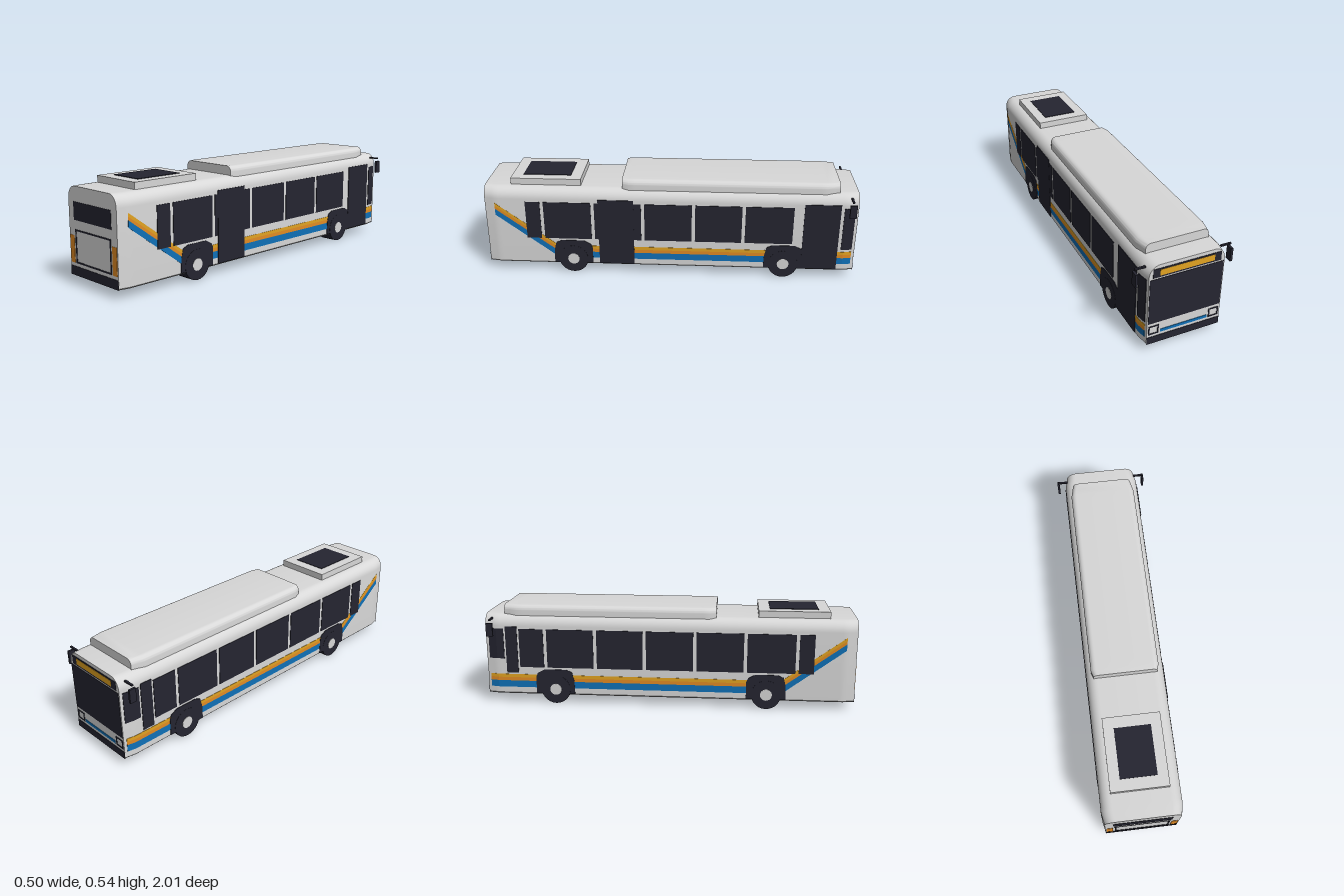
import * as THREE from 'three';
import { toCreasedNormals } from 'three/addons/utils/BufferGeometryUtils.js';

const mat = (name, color) => {
  const m = new THREE.MeshStandardMaterial({ color });
  m.name = name;
  return m;
};

export function createModel() {
  const bus = new THREE.Group();
  bus.name = 'cityBus';
  const paint = mat('bodyGrey', 0xd8d8d8);
  const dark = mat('darkGlass', 0x252531);
  const blue = mat('stripeBlue', 0x1071b8);
  const gold = mat('stripeGold', 0xe3a422);
  const orange = mat('lampOrange', 0xe38c24);

  const HALF = 0.207;
  // the body narrows slightly at both ends
  const taper = (z) => Math.max(0, Math.abs(z) - 0.94) * 0.2;

  const add = (name, geo, material) => {
    const mesh = new THREE.Mesh(geo, material);
    mesh.name = name;
    bus.add(mesh);
    return mesh;
  };
  const box = (name, x0, x1, y0, y1, z0, z1, material) => {
    const g = new THREE.BoxGeometry(x1 - x0, y1 - y0, z1 - z0);
    g.translate((x0 + x1) / 2, (y0 + y1) / 2, (z0 + z1) / 2);
    return add(name, g, material);
  };
  const polygon = (pts) => new THREE.Shape(pts.map(([a, b]) => new THREE.Vector2(a, b)));

  // cross-section with rounded upper corners
  const section = (h, y0, y1, rx, ry, bevel) => {
    const s = new THREE.Shape();
    s.moveTo(-h + bevel, y0);
    s.lineTo(h - bevel, y0);
    s.lineTo(h, y0 + bevel);
    s.lineTo(h, y1 - ry);
    s.bezierCurveTo(h, y1 - ry * 0.45, h - rx * 0.45, y1, h - rx, y1);
    s.lineTo(-h + rx, y1);
    s.bezierCurveTo(-h + rx * 0.45, y1, -h, y1 - ry * 0.45, -h, y1 - ry);
    s.lineTo(-h, y0 + bevel);
    s.closePath();
    return s;
  };
  const hull = (name, shape, z0, z1, steps, half, narrowing) => {
    const g = new THREE.ExtrudeGeometry(shape, { depth: z1 - z0, steps, bevelEnabled: false, curveSegments: 8 });
    g.translate(0, 0, z0);
    const p = g.attributes.position;
    for (let i = 0; i < p.count; i++) p.setX(i, p.getX(i) * (1 - narrowing(p.getZ(i)) / half));
    add(name, toCreasedNormals(g, 0.5), paint);
  };

  hull('body', section(HALF, 0.047, 0.495, 0.058, 0.062, 0.008), -1, 1, 100, HALF, taper);
  hull('roofUnit', section(0.179, 0.48, 0.543, 0.03, 0.028, 0), -0.9, 0.255, 33, 0.179,
    (z) => Math.max(0, -0.83 - z) * 0.22 + Math.max(0, z - 0.22) * 0.3);
  box('rearRoofUnit', -0.15, 0.15, 0.48, 0.53, 0.48, 0.86, paint);
  box('roofGrille', -0.095, 0.095, 0.528, 0.533, 0.54, 0.8, dark);

  // thin plate on a flank, outlined by [z, y] points
  const sidePlate = (name, side, pts, thick, material) => {
    const g = new THREE.ExtrudeGeometry(polygon(pts.map(([z, y]) => [-side * z, y])),
      { depth: thick, bevelEnabled: false });
    g.rotateY(side * Math.PI / 2);
    g.translate(side * HALF, 0, 0);
    const p = g.attributes.position;
    for (let i = 0; i < p.count; i++) p.setX(i, p.getX(i) - side * taper(p.getZ(i)));
    g.computeVertexNormals();
    add(name, g, material);
  };
  const sideRect = (name, side, z0, z1, y0, y1, thick, material) => {
    const cuts = z0 < -0.94 && z1 > -0.94 ? [z0, -0.94, z1] : [z0, z1];
    for (let i = 0; i + 1 < cuts.length; i++) {
      const [a, b] = [cuts[i], cuts[i + 1]];
      sidePlate(name, side, [[a, y0], [b, y0], [b, y1], [a, y1]], thick, material);
    }
  };

  const wheelZ = [0.53, -0.62];
  for (const side of [1, -1]) {
    // stripes: level along the flank, climbing towards the tail
    const bands = [['blueStripe', 0.087, 0.124, blue, 0.337, 0.372],
      ['orangeStripe', 0.124, 0.143, orange, 0.372, 0.389],
      ['goldStripe', 0.143, 0.161, gold, 0.389, 0.407]];
    for (const [name, y0, y1, m, t0, t1] of bands) {
      sideRect(name, side, -0.985, 0.61, y0, y1, 0.0015, m);
      sidePlate(name + 'Rise', side, [[0.61, y0], [0.945, t0], [0.945, t1], [0.61, y1]], 0.0015, m);
    }
    // side windows with narrow posts
    const posts = [0.788, 0.69, 0.415, 0.144, -0.129, -0.398, -0.672];
    for (let i = 0; i + 1 < posts.length; i++)
      sideRect('sideWindow', side, posts[i + 1] + 0.009, posts[i] - 0.009, 0.203, 0.418, 0.0025, dark);
    if (side > 0) {
      sideRect('rearDoor', side, 0.193, 0.385, 0.055, 0.438, 0.0035, dark);
      sideRect('frontDoor', side, -0.908, -0.717, 0.055, 0.438, 0.0035, dark);
      sideRect('frontSideWindow', side, -0.985, -0.925, 0.175, 0.418, 0.0025, dark);
    } else {
      sideRect('sideWindow', side, -0.815, -0.681, 0.203, 0.418, 0.0025, dark);
      sideRect('driverPanel', side, -0.89, -0.825, 0.17, 0.43, 0.003, dark);
      sideRect('driverWindow', side, -0.985, -0.9, 0.25, 0.418, 0.0025, dark);
    }
    // wheels and arches
    for (const z of wheelZ) {
      sidePlate('wheelArch', side, [[z - 0.108, 0.055], [z - 0.108, 0.15], [z - 0.098, 0.172], [z - 0.06, 0.192],
        [z + 0.06, 0.192], [z + 0.092, 0.178], [z + 0.104, 0.13], [z + 0.106, 0.055]], 0.003, dark);
      const tyre = add('tyre', new THREE.CylinderGeometry(0.08, 0.08, 0.094, 28).rotateZ(Math.PI / 2), dark);
      tyre.position.set(side * 0.164, 0.08, z);
      const hub = add('hub', new THREE.CylinderGeometry(0.032, 0.032, 0.004, 20).rotateZ(Math.PI / 2), paint);
      hub.position.set(side * 0.2105, 0.08, z);
    }
    // door mirrors
    const arm = add('mirrorArm', new THREE.BoxGeometry(0.055, 0.008, 0.01), dark);
    arm.position.set(side * 0.221, 0.473, -0.96);
    const mirror = add('mirror', new THREE.BoxGeometry(0.012, 0.072, 0.036), dark);
    mirror.position.set(side * 0.246, 0.42, -0.963);
  }

  // thin plate on an end face: end is 1 for the tail, -1 for the nose
  const endRect = (name, end, x0, x1, y0, y1, m, t = 0.002) =>
    box(name, x0, x1, y0, y1, Math.min(end, end * (1 + t)), Math.max(end, end * (1 + t)), m);
  const endFrame = (name, end, x0, x1, y0, y1, w) => {
    endRect(name, end, x0, x1, y0, y0 + w, dark);
    endRect(name, end, x0, x1, y1 - w, y1, dark);
    endRect(name, end, x0, x0 + w, y0 + w, y1 - w, dark);
    endRect(name, end, x1 - w, x1, y0 + w, y1 - w, dark);
  };

  // tail
  endRect('rearWindow', 1, -0.152, 0.152, 0.328, 0.419, dark);
  endFrame('engineHatchFrame', 1, -0.145, 0.145, 0.112, 0.282, 0.008);
  endRect('rearBumper', 1, -0.194, 0.194, 0.048, 0.095, dark);
  // nose
  endRect('windscreen', -1, -0.19, 0.19, 0.168, 0.42, dark);
  endRect('destinationSign', -1, -0.175, 0.175, 0.428, 0.476, dark);
  endRect('signDisplay', -1, -0.14, 0.14, 0.436, 0.468, gold, 0.003);
  endRect('frontBumper', -1, -0.194, 0.194, 0.048, 0.088, dark);
  endRect('noseStripe', -1, -0.125, 0.125, 0.104, 0.12, blue);
  for (const s of [1, -1]) {
    endRect('rearLamp', 1, s * 0.172 - 0.017, s * 0.172 + 0.017, 0.112, 0.25, orange);
    endFrame('headlampFrame', -1, s * 0.16 - 0.027, s * 0.16 + 0.027, 0.102, 0.152, 0.007);
  }
  return bus;
}
